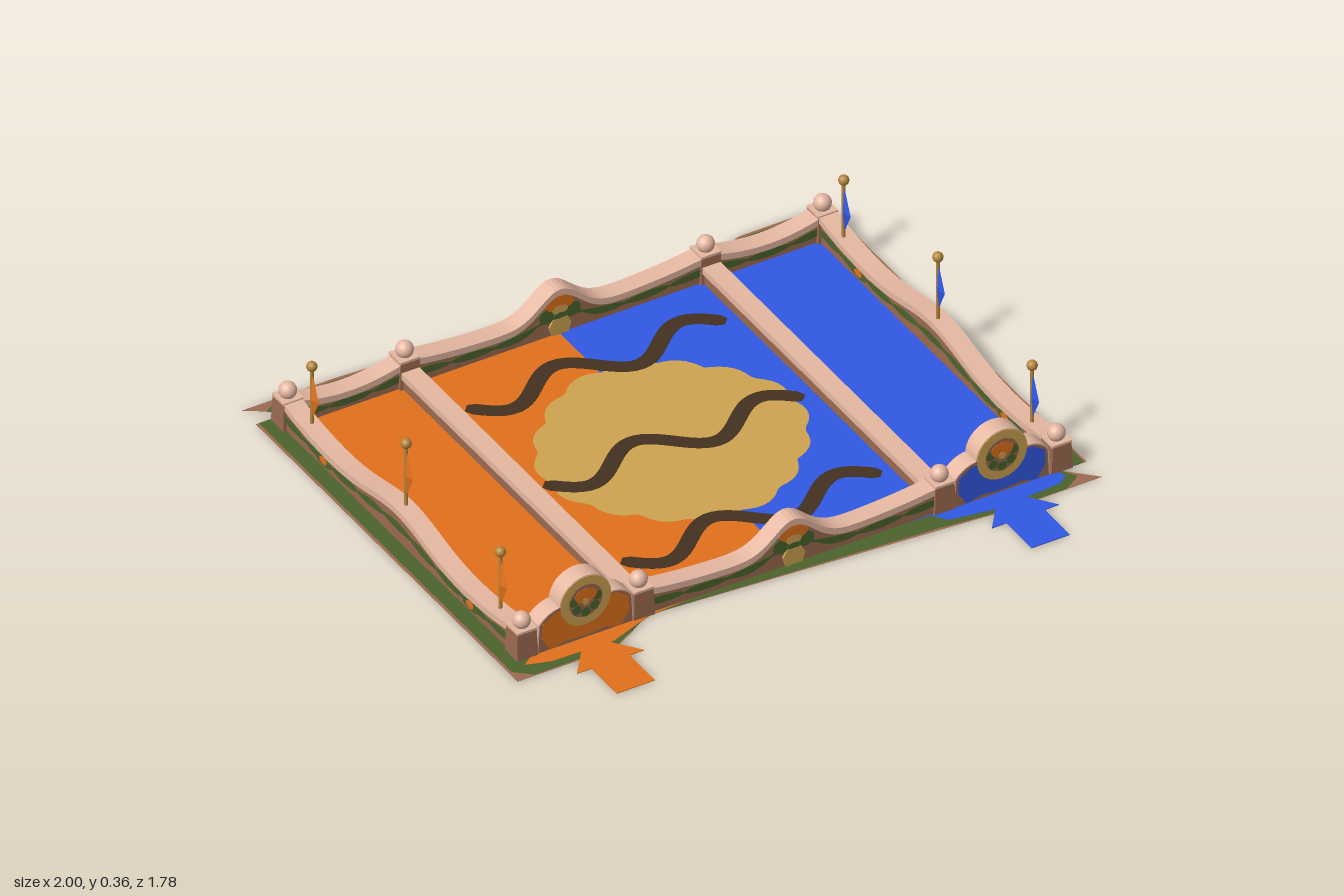
import * as THREE from 'three';

const mat = (name, color, side = THREE.FrontSide) => {
  const m = new THREE.MeshStandardMaterial({ color, side });
  m.name = name;
  return m;
};

export function createModel() {
  const stone = mat('pale stone', 0xe6b8a2);
  const brown = mat('brown wall', 0x9c6a50);
  const green = mat('vine green', 0x4b632c);
  const orange = mat('orange', 0xe2711c, THREE.DoubleSide);
  const blue = mat('blue', 0x3158e4, THREE.DoubleSide);
  const sand = mat('sand', 0xcfa452);
  const dark = mat('dark brown', 0x44311f);
  const gold = mat('gold pole', 0xb5863c);

  const model = new THREE.Group();
  model.name = 'arena';
  const BASE = 0.0022; // walls stand inside the floor paint

  const add = (parent, name, geo, material, x = 0, y = 0, z = 0) => {
    const m = new THREE.Mesh(geo, material);
    m.name = name;
    m.position.set(x, y, z);
    parent.add(m);
    return m;
  };
  const shapeOf = (pts) => new THREE.Shape(pts.map(([x, y]) => new THREE.Vector2(x, y)));
  // Upright slab centred on its own depth
  const slab = (shape, depth) => new THREE.ExtrudeGeometry(shape,
    { depth, bevelEnabled: false, curveSegments: 24 }).translate(0, 0, -depth / 2);

  // Floor paint: higher layers reach further both up and down, so they show from both sides
  const floor = (name, pts, material, layer) => {
    const geo = new THREE.ExtrudeGeometry(shapeOf(pts.map(([x, z]) => [x, -z])),
      { depth: 0.0005 + layer * 0.001, bevelEnabled: false });
    geo.rotateX(-Math.PI / 2);
    add(model, name, geo, material, 0, (4 - layer) * 0.0005, 0);
  };
  floor('groundEdge', [[-1, -0.89], [-0.68, -0.89], [0.5, -0.82], [0.7, -0.89], [1, -0.89], [1, 0.6],
    [0.91, 0.6], [1, 0.69], [0.66, 0.69], [-0.5, 0.6], [-0.66, 0.69], [-1, 0.69], [-1, -0.81],
    [-0.88, -0.81]], brown, 0);
  floor('grassBorder', [[-0.94, -0.85], [-0.88, -0.882], [-0.5, -0.875], [-0.45, -0.84], [0.5, -0.818],
    [0.68, -0.88], [0.94, -0.878], [0.95, -0.8], [0.993, -0.8], [0.993, 0.6], [0.91, 0.6], [0.94, 0.65],
    [0.88, 0.688], [0.66, 0.688], [0.45, 0.664], [-0.5, 0.6], [-0.66, 0.685], [-0.94, 0.685],
    [-0.99, 0.64], [-0.99, -0.81], [-0.9, -0.81]], green, 1);
  floor('orangeField', [[0, -0.77], [-0.5, -0.8], [-0.56, -0.835], [-0.8, -0.845], [-0.9, -0.815],
    [-0.9, 0.6], [-0.94, 0.63], [-0.86, 0.655], [-0.65, 0.66], [-0.5, 0.605], [0, 0.57]], orange, 2);
  floor('blueField', [[0, -0.77], [0.5, -0.81], [0.64, -0.86], [0.72, -0.84], [0.91, -0.83], [0.9, -0.78],
    [0.9, 0.6], [0.91, 0.63], [0.88, 0.655], [0.66, 0.672], [0.5, 0.645], [0.47, 0.6], [0, 0.57]], blue, 2);
  for (const [cx, m] of [[-0.715, orange], [0.705, blue]]) {
    floor('entryArrow', [[cx - 0.065, 0.89], [cx - 0.065, 0.745], [cx - 0.115, 0.745], [cx - 0.05, 0.66],
      [cx, 0.62], [cx + 0.05, 0.66], [cx + 0.115, 0.745], [cx + 0.065, 0.745], [cx + 0.065, 0.89]], m, 2);
    // Dark strokes on the underside
    for (const z of [0.61, -0.8]) {
      add(model, 'undersideStroke', new THREE.BoxGeometry(0.26, 0.002, 0.045), dark, cx * 0.98, 0.001, z);
    }
  }
  // Scalloped sandy patch
  const patch = [];
  for (let i = 0; i < 120; i++) {
    const a = i / 120 * Math.PI * 2;
    const r = 0.388 + 0.022 * Math.abs(Math.sin(a * 8)) + 0.012 * Math.cos(4 * a);
    patch.push([0.005 + r * Math.cos(a) * 1.02, -0.11 + r * Math.sin(a)]);
  }
  floor('sandPatch', patch, sand, 3);
  // Wavy dark strokes
  for (const c of [-0.55, -0.105, 0.34]) {
    const up = [], down = [];
    for (let i = 0; i <= 48; i++) {
      const x = -0.43 + 0.88 * i / 48, k = Math.PI * 2 / 0.43, p = k * (x + 0.31);
      const slope = -0.062 * k * Math.sin(p), l = Math.hypot(1, slope);
      const h = 0.026 * (i === 0 || i === 48 ? 0.6 : 1);
      const z = c + 0.062 * Math.cos(p);
      up.push([x - h * slope / l, z + h / l]);
      down.unshift([x + h * slope / l, z - h / l]);
    }
    floor('wavyStroke', [...up, ...down], dark, 4);
  }

  // Band between two height curves, standing along local x
  const band = (top, bottom, half, depth) => {
    const up = [], low = [];
    for (let i = 0; i <= 64; i++) {
      const x = -half + 2 * half * i / 64;
      up.push([x, top(x)]);
      low.unshift([x, bottom(x)]);
    }
    return slab(shapeOf([...up, ...low]), depth);
  };
  const wall = (name, top, half, x, z, turn = 0, vines = true) => {
    const g = new THREE.Group();
    g.name = name;
    g.position.set(x, 0, z);
    g.rotation.y = turn;
    model.add(g);
    const under = (u) => top(u) - 0.022;
    add(g, 'wallBody', band(under, () => BASE, half, 0.05), brown);
    add(g, 'wallCap', band(top, under, half, 0.062), stone);
    if (vines) {
      const mid = (u) => top(u) * 0.5 - 0.004;
      const thick = (u) => 0.0005 + 0.0125 * Math.sqrt(Math.abs(Math.cos(u * 21)));
      add(g, 'vine', band((u) => mid(u) + thick(u), (u) => mid(u) - thick(u), half, 0.054), green);
    }
    return g;
  };
  const disc = (g, name, r, depth, m, x, y, sx = 1, sy = 1) => {
    const geo = new THREE.CylinderGeometry(r, r, depth, 24).rotateX(Math.PI / 2).scale(sx, sy, 1);
    add(g, name, geo, m, x, y, 0);
  };

  const longTop = (u) => 0.068 + 0.097 * Math.exp(-((u / 0.095) ** 2)) + 0.028 * Math.abs(u / 0.5) ** 3;
  const sideTop = (u) => 0.063 + 0.057 * Math.exp(-((u / 0.22) ** 2)) + 0.035 * (u / 0.64) ** 4;
  const shortTop = (u) => 0.065 + 0.035 * (u / 0.2) ** 2;

  // Front and back centre walls with a crest ornament
  for (const z of [0.57, -0.77]) {
    const g = wall(z > 0 ? 'frontWall' : 'backWall', longTop, 0.5, 0, z);
    for (const s of [-1, 1]) disc(g, 'crestLeaf', 0.026, 0.056, green, s * 0.042, 0.078, 1.1, 1);
    disc(g, 'crestFlower', 0.036, 0.058, orange, 0, 0.113, 1.35, 0.75);
    disc(g, 'crestHeart', 0.022, 0.059, sand, 0, 0.09, 1.2, 0.7);
    disc(g, 'crestBud', 0.018, 0.06, green, 0, 0.068, 1.3, 0.7);
    add(g, 'crestVase', slab(shapeOf([[-0.028, BASE], [0.028, BASE], [0.038, 0.035], [0.024, 0.06],
      [-0.024, 0.06], [-0.038, 0.035]]), 0.061), sand);
  }
  for (const s of [-1, 1]) {
    wall('backOuterWall', shortTop, 0.19, s * 0.715, -0.77);
    const side = wall('sideWall', sideTop, 0.66, s * 0.915, -0.1, Math.PI / 2);
    for (const u of [-0.42, 0.42]) {
      disc(side, 'sideLeaf', 0.02, 0.056, green, u, 0.024, 2, 0.6);
      disc(side, 'sideFlower', 0.015, 0.058, orange, u, 0.03, 1.4, 0.8);
    }
    wall('divider', () => 0.064, 0.66, s * 0.515, -0.1, Math.PI / 2, false);
  }

  // Corner and divider posts with ball tops
  for (const x of [-0.915, -0.515, 0.515, 0.915]) for (const z of [0.57, -0.77]) {
    const base = new THREE.CylinderGeometry(0.046, 0.051, 0.094 - BASE, 4, 1).rotateY(Math.PI / 4);
    base.deleteAttribute('normal');
    const post = base.toNonIndexed();
    post.computeVertexNormals();
    add(model, 'post', post, brown, x, (0.094 + BASE) / 2, z);
    add(model, 'postCap', new THREE.BoxGeometry(0.068, 0.008, 0.068), stone, x, 0.098, z);
    add(model, 'postBall', new THREE.SphereGeometry(0.028, 16, 12), stone, x, 0.121, z);
  }

  // Front gates with round medallions
  for (const [x, team] of [[-0.715, orange], [0.71, blue]]) {
    const g = new THREE.Group();
    g.name = 'gate';
    g.position.set(x, 0, 0.57);
    model.add(g);
    const outline = (inset) => {
      const s = new THREE.Shape();
      const r = 0.088 - inset;
      s.moveTo(-0.165 + inset, BASE);
      s.lineTo(0.165 - inset, BASE);
      s.lineTo(0.16 - inset, 0.102 - inset);
      s.quadraticCurveTo(0.13, 0.138 - inset, r * Math.cos(0.05), 0.137 - inset);
      s.absarc(0, 0.137, r, 0.05, Math.PI - 0.05, false);
      s.quadraticCurveTo(-0.13, 0.138 - inset, -0.16 + inset, 0.102 - inset);
      return s;
    };
    add(g, 'gateCap', slab(outline(0), 0.062), stone);
    add(g, 'gateFace', slab(outline(0.004), 0.0632), brown);
    add(g, 'gatePanel', slab(shapeOf([[-0.12, BASE], [-0.07, 0.016], [0, 0.01], [0.07, 0.016], [0.12, BASE],
      [0.15, 0.05], [0.147, 0.1], [0.105, 0.128], [-0.105, 0.128], [-0.147, 0.1], [-0.15, 0.05]]),
    0.0645), team);
    disc(g, 'medallion', 0.086, 0.066, sand, 0, 0.137);
    disc(g, 'medallionCentre', 0.057, 0.0672, brown, 0, 0.137);
    for (let i = 0; i < 5; i++) {
      const a = Math.PI * (0.95 + 0.275 * i);
      disc(g, 'medallionLeaf', 0.016, 0.0684, green, 0.04 * Math.cos(a), 0.137 + 0.04 * Math.sin(a));
    }
    disc(g, 'medallionFlower', 0.03, 0.0696, orange, 0, 0.156, 1.25, 0.85);
    disc(g, 'medallionBud', 0.012, 0.0708, sand, 0, 0.135);
  }

  // Flagpoles on the side walls with folded pennants
  for (const s of [-1, 1]) for (const [z, top] of [[0.44, 0.285], [-0.1, 0.342], [-0.64, 0.285]]) {
    const g = new THREE.Group();
    g.name = 'flag';
    g.position.set(s * 0.91, 0, z);
    model.add(g);
    const foot = sideTop(z + 0.1) - 0.01;
    add(g, 'pole', new THREE.CylinderGeometry(0.006, 0.006, top - foot, 8), gold, 0, (top + foot) / 2, 0);
    add(g, 'poleBall', new THREE.SphereGeometry(0.017, 12, 10), gold, 0, top, 0);
    // Pennant: tip, foot and outer corner, with a ridge on each side
    const y = top - 0.02;
    const tip = [0, y, 0.002], end = [0, y - 0.165, 0.004], out = [0, y - 0.09, 0.04];
    const right = [0.01, y - 0.09, 0.012], left = [-0.01, y - 0.09, 0.012];
    const cloth = new THREE.BufferGeometry();
    cloth.setAttribute('position', new THREE.Float32BufferAttribute([
      tip, out, right, out, end, right, tip, right, end,
      out, tip, left, end, out, left, right, tip, left,
      right, left, end,
    ].flat(), 3));
    cloth.computeVertexNormals();
    add(g, 'pennant', cloth, s < 0 ? orange : blue);
  }
  return model;
}
